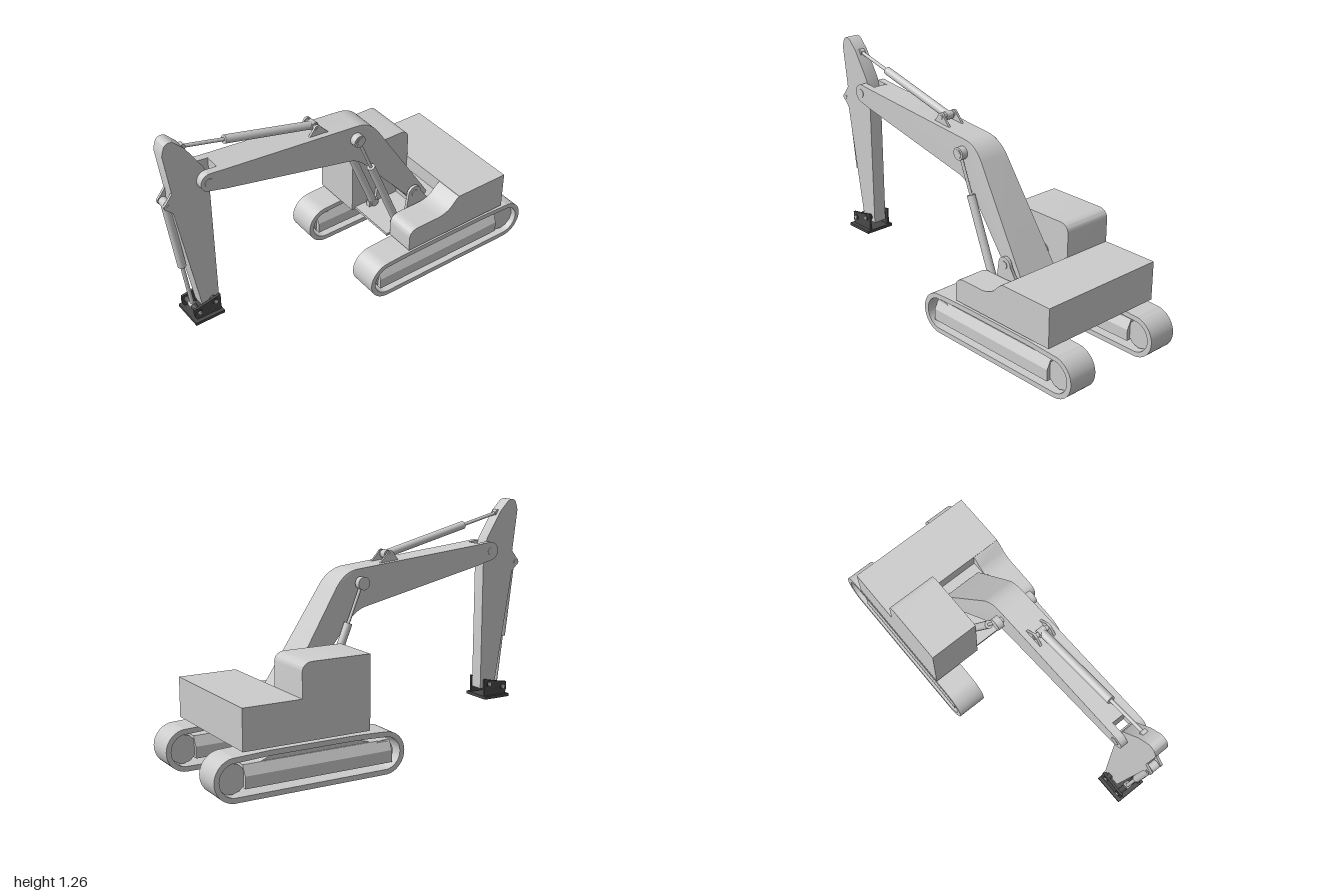
import * as THREE from 'three';
import { toCreasedNormals } from 'three/addons/utils/BufferGeometryUtils.js';

const grey = new THREE.MeshStandardMaterial({ color: 0xcccccc });
const dark = new THREE.MeshStandardMaterial({ color: 0x484848 });
const CX = 0.056; // the digging arm sits left of the centre line

export function createModel() {
  const model = new THREE.Group();

  const add = (name, geo, parent = model, mat = grey) => {
    const mesh = new THREE.Mesh(geo, mat);
    mesh.name = name;
    parent.add(mesh);
    return mesh;
  };
  const group = (name, parent = model) => {
    const g = new THREE.Group();
    g.name = name;
    parent.add(g);
    return g;
  };
  const outline = (pts) => new THREE.Shape(pts.map(([z, y]) => new THREE.Vector2(z, y)));

  // Side profile drawn in (z, y), extruded across x from x0 to x1
  const profile = (shape, x0, x1) => {
    const geo = new THREE.ExtrudeGeometry(shape, { depth: x1 - x0, bevelEnabled: false, curveSegments: 16 });
    geo.rotateY(-Math.PI / 2).translate(x1, 0, 0);
    return toCreasedNormals(geo, 0.6);
  };
  const box = (x0, x1, y0, y1, z0, z1) =>
    new THREE.BoxGeometry(x1 - x0, y1 - y0, z1 - z0).translate((x0 + x1) / 2, (y0 + y1) / 2, (z0 + z1) / 2);
  // Cylinder lying across x
  const pin = (x0, x1, y, z, r, sides = 24) =>
    new THREE.CylinderGeometry(r, r, x1 - x0, sides).rotateZ(Math.PI / 2).translate((x0 + x1) / 2, y, z);
  // Cylinder between two points
  const rod = (a, b, r) => {
    const dir = b.clone().sub(a);
    const geo = new THREE.CylinderGeometry(r, r, dir.length(), 20);
    geo.applyQuaternion(new THREE.Quaternion().setFromUnitVectors(new THREE.Vector3(0, 1, 0), dir.clone().normalize()));
    return geo.translate(...a.clone().add(b).multiplyScalar(0.5).toArray());
  };
  // Hydraulic cylinder: barrel from a to a fraction t of the way, thin rod on to b
  const ram = (name, a, b, t, r, rodR) => {
    const g = group(name);
    const mid = a.clone().lerp(b, t);
    add('barrel', rod(a, mid, r), g);
    add('pistonRod', rod(mid, b, rodR), g);
    add('barrelEye', pin(a.x - r, a.x + r, a.y, a.z, r * 1.05), g);
    add('rodEye', pin(b.x - r * 0.7, b.x + r * 0.7, b.y, b.z, rodR * 1.8), g);
  };
  const V = (x, y, z) => new THREE.Vector3(x, y, z);

  // Crawler tracks: hollow belt, side frame and wheels
  const beltPath = (path, t) => {
    const r = 0.108 - t;
    path.absarc(-0.092, 0.108, r, -Math.PI / 2, Math.PI * 0.45, false);
    path.quadraticCurveTo(-0.2, 0.222 - t, -0.32, 0.223 - t);
    path.lineTo(-0.72, 0.223 - t);
    path.quadraticCurveTo(-0.82, 0.218 - t, -0.892 - r * 0.156, 0.108 + r * 0.988);
    path.absarc(-0.892, 0.108, r, Math.PI * 0.55, Math.PI * 1.5, false);
    path.closePath();
    return path;
  };
  for (const [name, x] of [['leftTrack', 0.273], ['rightTrack', -0.277]]) {
    const track = group(name);
    const belt = beltPath(new THREE.Shape(), 0);
    belt.holes.push(beltPath(new THREE.Path(), 0.026));
    add('trackBelt', profile(belt, x - 0.08, x + 0.08), track);
    const section = outline([[-0.045, 0.165], [-0.07, 0.115], [-0.07, 0.055], [0.07, 0.055], [0.07, 0.115], [0.045, 0.165]]);
    const frame = new THREE.ExtrudeGeometry(section, { depth: 0.79, bevelEnabled: false });
    add('trackFrame', frame.translate(x, 0, -0.84), track);
    add('frameTop', profile(outline([[-0.14, 0.16], [-0.76, 0.16], [-0.68, 0.19], [-0.24, 0.19]]), x - 0.04, x + 0.04), track);
    add('driveWheel', pin(x - 0.05, x + 0.05, 0.107, -0.9, 0.074, 12), track);
    add('idlerWheel', pin(x - 0.05, x + 0.05, 0.107, -0.092, 0.06), track);
  }

  // Upper body
  add('counterweight', box(-0.357, 0.353, 0.235, 0.44, -0.855, -0.545));
  add('deck', box(-0.085, 0.195, 0.235, 0.25, -0.55, -0.2));
  add('deckStep', box(-0.085, 0.195, 0.25, 0.36, -0.55, -0.46));

  const cab = outline([[-0.18, 0.235], [-0.18, 0.612], [-0.5, 0.612]]);
  cab.quadraticCurveTo(-0.545, 0.605, -0.547, 0.565);
  cab.lineTo(-0.547, 0.235);
  add('cab', profile(cab, -0.357, -0.08));

  const hood = outline([[-0.222, 0.235], [-0.222, 0.315]]);
  hood.quadraticCurveTo(-0.225, 0.36, -0.28, 0.362);
  hood.lineTo(-0.41, 0.362);
  hood.quadraticCurveTo(-0.455, 0.365, -0.49, 0.39);
  hood.lineTo(-0.53, 0.43);
  hood.lineTo(-0.55, 0.44);
  hood.lineTo(-0.55, 0.235);
  add('hood', profile(hood, 0.193, 0.353));

  // Boom: cranked beam that widens towards its foot
  const beam = outline([[0.72, 1.037], [0.72, 0.929], [0, 0.77]]);
  beam.quadraticCurveTo(-0.06, 0.755, -0.105, 0.695);
  beam.lineTo(-0.35, 0.415);
  beam.quadraticCurveTo(-0.37, 0.365, -0.42, 0.36);
  beam.quadraticCurveTo(-0.46, 0.355, -0.48, 0.39);
  beam.lineTo(-0.17, 0.883);
  beam.quadraticCurveTo(-0.12, 0.955, -0.045, 0.963);
  let beamGeo = profile(beam, -0.077, 0.077);
  const pos = beamGeo.attributes.position;
  for (let i = 0; i < pos.count; i++) {
    const flare = THREE.MathUtils.clamp((-0.1 - pos.getZ(i)) / 0.38, 0, 1);
    pos.setX(i, CX + pos.getX(i) * (1 + 0.46 * flare));
  }
  beamGeo = toCreasedNormals(beamGeo, 0.6);
  const boom = group('boom');
  add('boomBeam', beamGeo, boom);

  // Fork prongs and the pin that carries the arm
  const prong = outline([[0.7, 1.035], [0.7, 0.925]]);
  prong.absarc(0.78, 0.996, 0.048, -Math.PI * 0.43, Math.PI * 0.53, false);
  for (const s of [-1, 1]) {
    const x = CX + s * 0.058;
    add('forkProng', profile(prong, x - 0.019, x + 0.019), boom);
  }
  add('armPin', pin(CX - 0.08, CX + 0.08, 0.996, 0.785, 0.022), boom);

  // Foot pivot brackets
  const footLug = outline([[-0.32, 0.25], [-0.345, 0.43]]);
  footLug.absarc(-0.385, 0.43, 0.04, 0, Math.PI, false);
  footLug.lineTo(-0.48, 0.35);
  footLug.lineTo(-0.48, 0.25);
  for (const s of [-1, 1]) {
    const x = CX + s * 0.122;
    add('footBracket', profile(footLug, x - 0.008, x + 0.008));
  }
  add('footPin', pin(CX - 0.134, CX + 0.134, 0.43, -0.385, 0.02));

  // Boom rams on both sides, with a shared upper pin
  for (const s of [-1, 1]) {
    const x = CX + s * 0.102;
    ram('boomRam', V(x, 0.27, -0.292), V(x - s * 0.002, 0.895, -0.035), 0.69, 0.021, 0.008);
    add('ramFoot', box(x - 0.012, x + 0.012, 0.245, 0.28, -0.32, -0.26));
    add('ramCollar', pin(x - 0.022, x + 0.012, 0.895, -0.035, 0.033, 24), boom);
    add('ramNut', pin(x - 0.014, x + 0.014, 0.895, -0.035, 0.024, 6), boom);
  }
  add('ramPin', pin(CX - 0.117, CX + 0.117, 0.895, -0.035, 0.015), boom);

  // Arm ram above the boom
  const topLug = outline([[0.1, 0.97], [0.22, 0.98], [0.185, 1.025]]);
  topLug.absarc(0.168, 1.017, 0.02, 0.3, Math.PI - 0.3, false);
  for (const s of [-1, 1]) {
    const x = CX + s * 0.042;
    add('armRamLug', profile(topLug, x - 0.006, x + 0.006), boom);
  }
  add('armRamPin', pin(CX - 0.05, CX + 0.05, 1.015, 0.168, 0.012), boom);
  ram('armRam', V(CX, 1.015, 0.168), V(CX, 1.19, 0.87), 0.69, 0.021, 0.009);

  // Arm: tall tapered box with a rounded head
  const armShape = outline([[0.758, 0.24], [0.85, 0.24], [0.957, 0.87], [0.955, 0.975], [0.985, 1.2]]);
  armShape.quadraticCurveTo(0.982, 1.225, 0.97, 1.25);
  armShape.quadraticCurveTo(0.95, 1.27, 0.922, 1.252);
  armShape.lineTo(0.872, 1.2);
  armShape.lineTo(0.785, 1.06);
  armShape.lineTo(0.763, 0.97);
  add('arm', profile(armShape, CX - 0.037, CX + 0.037));

  // Bucket ram on the front of the arm
  const armLug = outline([[0.945, 0.86], [0.985, 0.9]]);
  armLug.absarc(0.978, 0.92, 0.022, -0.6, 1, false);
  armLug.lineTo(0.95, 0.99);
  for (const s of [-1, 1]) {
    const x = CX + s * 0.031;
    add('bucketRamLug', profile(armLug, x - 0.006, x + 0.006));
  }
  add('bucketRamPin', pin(CX - 0.04, CX + 0.04, 0.92, 0.978, 0.011));
  ram('bucketRam', V(CX, 0.92, 0.976), V(CX, 0.245, 0.887), 0.6, 0.021, 0.01);

  // Tool coupler at the end of the arm
  const coupler = group('toolCoupler');
  add('basePlate', box(CX - 0.082, CX + 0.086, 0.187, 0.203, 0.758, 0.92), coupler, dark);
  const cheek = outline([[0.765, 0.2], [0.9, 0.2], [0.913, 0.225], [0.913, 0.268], [0.83, 0.282], [0.765, 0.297]]);
  for (const s of [-1, 1]) {
    const x = CX + s * 0.06;
    add('cheekPlate', profile(cheek, x - 0.006, x + 0.006), coupler, dark);
  }
  for (const [y, z] of [[0.243, 0.887], [0.267, 0.795]]) {
    add('couplerPin', pin(CX - 0.07, CX + 0.07, y, z, 0.016), coupler, dark);
    add('couplerPinCap', pin(CX - 0.076, CX + 0.076, y, z, 0.01), coupler);
  }
  return model;
}
